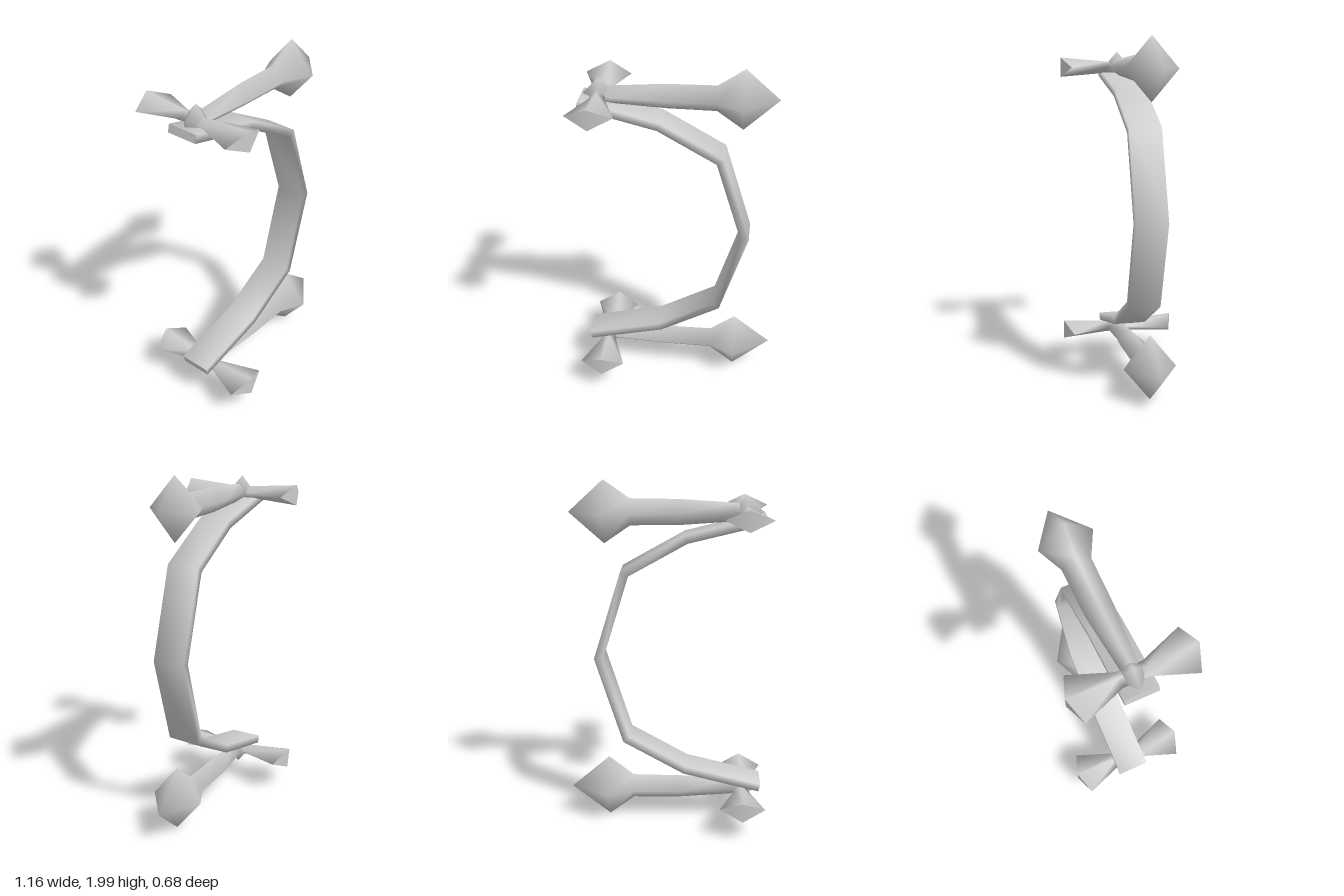
import * as THREE from 'three';
import { mergeVertices, mergeGeometries } from 'three/addons/utils/BufferGeometryUtils.js';

const material = new THREE.MeshStandardMaterial({ color: 0xcccccc });

function indexed(points, index) {
  const g = new THREE.BufferGeometry();
  g.setAttribute('position', new THREE.Float32BufferAttribute(points.flat(), 3));
  g.setIndex(index);
  return g;
}

// Smooth skin through four-cornered rings, with flat caps where wanted
function loft(rings, capStart, capEnd) {
  const index = [];
  for (let i = 0; i < rings.length - 1; i++) {
    for (let j = 0; j < 4; j++) {
      const a = i * 4 + j, b = i * 4 + (j + 1) % 4;
      index.push(a, b, a + 4, b, b + 4, a + 4);
    }
  }
  const parts = [mergeVertices(indexed(rings.flat(), index))];
  if (capStart) parts.push(indexed(rings[0], [0, 2, 1, 0, 3, 2]));
  if (capEnd) parts.push(indexed(rings[rings.length - 1], [0, 1, 2, 0, 2, 3]));
  parts.forEach((p) => p.computeVertexNormals());
  return mergeGeometries(parts);
}

// Diamond section across x: top, front, bottom, back; sides may lag behind
function diamond(x, halfHeight, halfWidth, z = 0, lag = 0) {
  return [[x, halfHeight, z], [x - lag, 0, z + halfWidth],
    [x, -halfHeight, z], [x - lag, 0, z - halfWidth]];
}

function add(parent, name, geometry) {
  const mesh = new THREE.Mesh(geometry, material);
  mesh.name = name;
  parent.add(mesh);
  return mesh;
}

// Handle with a pointed pommel, a hub and two flared cross arms
function createHandle(name, y, side, headHalf, tip) {
  const handle = new THREE.Group();
  handle.name = name;
  handle.position.y = y;

  add(handle, 'shaftAndPommel', loft([
    diamond(0.0, 0.045, 0.045),
    diamond(0.06, 0.05, 0.05),
    diamond(0.36, 0.07, 0.077, -0.01),
    diamond(0.635, 0.073, 0.08, -0.012),
    diamond(0.78, headHalf, 0.15, -0.008),
    diamond(tip, 0, 0, -0.024),
  ], true, false));

  // Hub, peaked on the outer side
  const up = side > 0 ? 0.093 : 0.045, down = side > 0 ? 0.045 : 0.093;
  add(handle, 'hub', loft([
    diamond(-0.09, 0, 0),
    [[0, up, 0], [0, 0, 0.08], [0, -down, 0], [0, 0, -0.08]],
    diamond(0.09, 0, 0),
  ], false, false));

  // Cross arms, front and back
  for (const s of [1, -1]) {
    const arm = add(handle, s > 0 ? 'frontArm' : 'backArm', loft([
      diamond(0, 0.035, 0.045),
      diamond(0.07, 0.034, 0.043),
      diamond(0.345, 0.057, 0.129, 0, 0.045),
    ], true, true));
    arm.rotation.y = -s * Math.PI / 2;
  }
  return handle;
}

// Curved band of rectangular section with mitred joints
function createBand() {
  const mid = 1.013, half = 0.023, width = 0.092;
  const upper = [[-0.106, 1.797], [0.33, 1.69], [0.668, 1.5]];
  const path = [...upper, [0.82, mid], ...upper.map(([x, y]) => [x, 2 * mid - y]).reverse()]
    .map(([x, y]) => new THREE.Vector2(x, y));
  const normalAt = (i) => {
    const d = path[i + 1].clone().sub(path[i]).normalize();
    return new THREE.Vector2(-d.y, d.x);
  };
  const rings = path.map((p, i) => {
    const a = normalAt(Math.max(i - 1, 0));
    const b = normalAt(Math.min(i, path.length - 2));
    const n = a.clone().add(b).normalize();
    n.multiplyScalar(half / n.dot(a));
    const o = p.clone().add(n), q = p.clone().sub(n);
    return [[o.x, o.y, -width], [o.x, o.y, width], [q.x, q.y, width], [q.x, q.y, -width]];
  });
  return loft(rings, true, true);
}

export function createModel() {
  const model = new THREE.Group();
  model.name = 'model';

  // Everything shares one slightly turned frame with its origin at the hubs
  const frame = new THREE.Group();
  frame.name = 'bracket';
  frame.position.x = -0.41;
  frame.rotation.y = 0.15;
  model.add(frame);

  frame.add(createHandle('upperHandle', 1.827, 1, 0.173, 0.97));
  frame.add(createHandle('lowerHandle', 0.195, -1, 0.186, 1.0));
  add(frame, 'curvedBand', createBand());
  return model;
}
